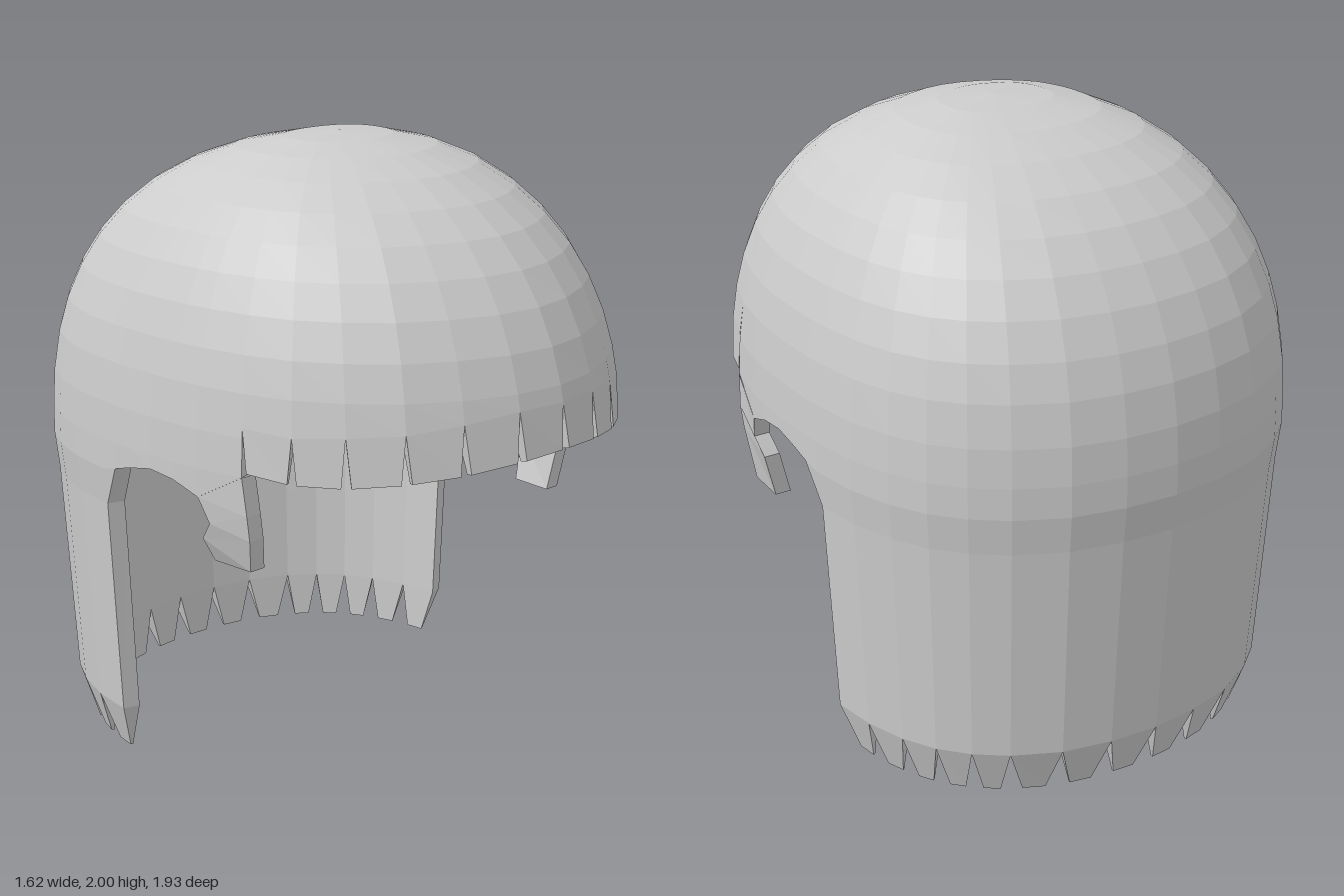
import * as THREE from 'three';

const material = new THREE.MeshStandardMaterial({ color: 0xcccccc, flatShading: true, side: THREE.DoubleSide });
const lerp = THREE.MathUtils.lerp;

// Columns of the hair shell from the front centre round the left side to the back:
// [x, z, height of the lower edge, height of the strand tip (if any)]
const bangs = [
  [0, 0.97, 1.30, 1.16], [0.17, 0.945, 1.30, 1.15], [0.34, 0.875, 1.28, 1.13], [0.49, 0.78, 1.26, 1.115],
  [0.61, 0.65, 1.25, 1.10], [0.70, 0.515, 1.24, 1.10], [0.755, 0.36, 1.25, 1.115],
];
const arch = [
  [0.755, 0.36, 1.10], [0.79, 0.20, 1.01], [0.803, 0.10, 1.045], [0.808, 0, 1.055],
  [0.81, -0.10, 1.035], [0.81, -0.17, 1.015], [0.805, -0.235, 0.88],
];
const curtain = [
  [0.805, -0.235], [0.785, -0.395], [0.74, -0.54], [0.68, -0.655], [0.60, -0.75],
  [0.50, -0.83], [0.345, -0.91], [0.175, -0.95], [0, -0.965],
].map(([x, z]) => [x, z, 0.16, 0]);

const half = [...bangs, ...arch, ...curtain];
const mirrored = half.slice(0, -1).reverse().map(([x, ...rest]) => [-x, ...rest]);
const columns = [...half, ...mirrored];

// Point on the shell at outline position (x, z) and height y; k < 1 moves it inward
function shellPoint(x, z, y, k = 1) {
  if (y >= 1) {
    const s = Math.sqrt(Math.max(0, 1 - (y - 1) ** 2.5));
    const yk = k < 1 ? 1 + (y - 1) * 0.95 : y;
    return new THREE.Vector3(x * s ** 0.8 * k, yk, z * s * k);
  }
  // The long back narrows towards its tips, with a crease at ear height
  let t = (1 - y) / 0.12 * 0.25;
  if (y < 0.88) t = lerp(0.25, 1, (0.88 - y) / 0.72);
  if (y < 0.16) t = 1 + (0.16 - y) / 0.16;
  const sx = 1 - 0.06 * t, sz = 1 - 0.08 * t;
  return new THREE.Vector3(x * sx * k, y, (-0.25 + (z + 0.25) * sz) * k);
}

// Surface through rows of points; rows run downward, points left to right
function surface(rows, name) {
  const pos = [];
  const tri = (a, b, c) => {
    const area = b.clone().sub(a).cross(c.clone().sub(a)).length();
    if (area > 1e-8) for (const p of [a, b, c]) pos.push(p.x, p.y, p.z);
  };
  for (let j = 0; j < rows.length - 1; j++) {
    for (let i = 0; i < rows[j].length - 1; i++) {
      const a = rows[j][i], b = rows[j][i + 1], c = rows[j + 1][i + 1], d = rows[j + 1][i];
      tri(a, d, c);
      tri(a, c, b);
    }
  }
  const geometry = new THREE.BufferGeometry();
  geometry.setAttribute('position', new THREE.Float32BufferAttribute(pos, 3));
  geometry.computeVertexNormals();
  const mesh = new THREE.Mesh(geometry, material);
  mesh.name = name;
  return mesh;
}

// Solid strand from four-cornered sections, closed at its end
function strand(sections, name) {
  const rows = sections.map((s) => [...s, s[0]]);
  const last = sections[sections.length - 1];
  const centre = last.reduce((sum, p) => sum.add(p), new THREE.Vector3()).multiplyScalar(0.25);
  rows.push(rows[0].map(() => centre));
  return surface(rows, name);
}

// Cap: outer surface down to the lower edge, then the inner surface back up
function hairCap() {
  const levels = [2, 1.99, 1.96, 1.91, 1.84, 1.76, 1.67, 1.57, 1.46, 1.35, 1.22, 1.1, 1, 0.88, 0.5, 0.16];
  const layer = (k) => levels.map((y) =>
    columns.map(([x, z, edge]) => shellPoint(x, z, Math.max(y, edge), k)));
  return surface([...layer(1), ...layer(0.93).reverse()], 'hairCap');
}

// Tapered strand tip below the edge between two neighbouring columns
function strandTip(a, b) {
  const isBack = a[3] === 0;
  const narrow = isBack ? 0.26 : 0.09;
  const section = (shrink, h, k) => {
    const at = (f) => [0, 1, h].map((n) => lerp(a[n], b[n], f));
    const l = at(shrink), r = at(1 - shrink);
    return [shellPoint(...l), shellPoint(...r), shellPoint(...r, k), shellPoint(...l, k)];
  };
  const tipLayer = isBack ? 0.99 : 0.97;
  return strand([section(0, 2, 0.93), section(narrow, 3, tipLayer)], isBack ? 'backStrandTip' : 'bangStrandTip');
}

// Lock in front of the ear: [front z, x, y, rear z, x, y]
function sideLock(side, bottom) {
  const rows = [
    [0.36, 0.755, 1.10, 0.20, 0.79, 1.01],
    [0.375, 0.75, 0.98, 0.235, 0.775, 0.93],
    [0.375, 0.74, 0.90, 0.19, 0.765, 0.87],
    [0.35, 0.715, bottom, 0.20, 0.725, bottom],
  ];
  const sections = rows.map(([zf, xf, yf, zr, xr, yr]) => {
    const p = (x, y, z) => new THREE.Vector3(side * x, y, z);
    const loop = [p(xf, yf, zf), p(xr, yr, zr), p(xr - 0.055, yr, zr), p(xf - 0.055, yf, zf)];
    return side > 0 ? loop : loop.reverse();
  });
  return strand(sections, side > 0 ? 'leftSideLock' : 'rightSideLock');
}

export function createModel() {
  const group = new THREE.Group();
  group.name = 'hair';
  group.add(hairCap());

  // Jagged tips along the fringe and the back
  for (let i = 0; i < columns.length - 1; i++) {
    const a = columns[i], b = columns[i + 1];
    const sameEdge = a[3] !== undefined && b[3] !== undefined;
    if (sameEdge) group.add(strandTip(a, b));
  }

  group.add(sideLock(1, 0.72), sideLock(-1, 0.79));
  return group;
}
